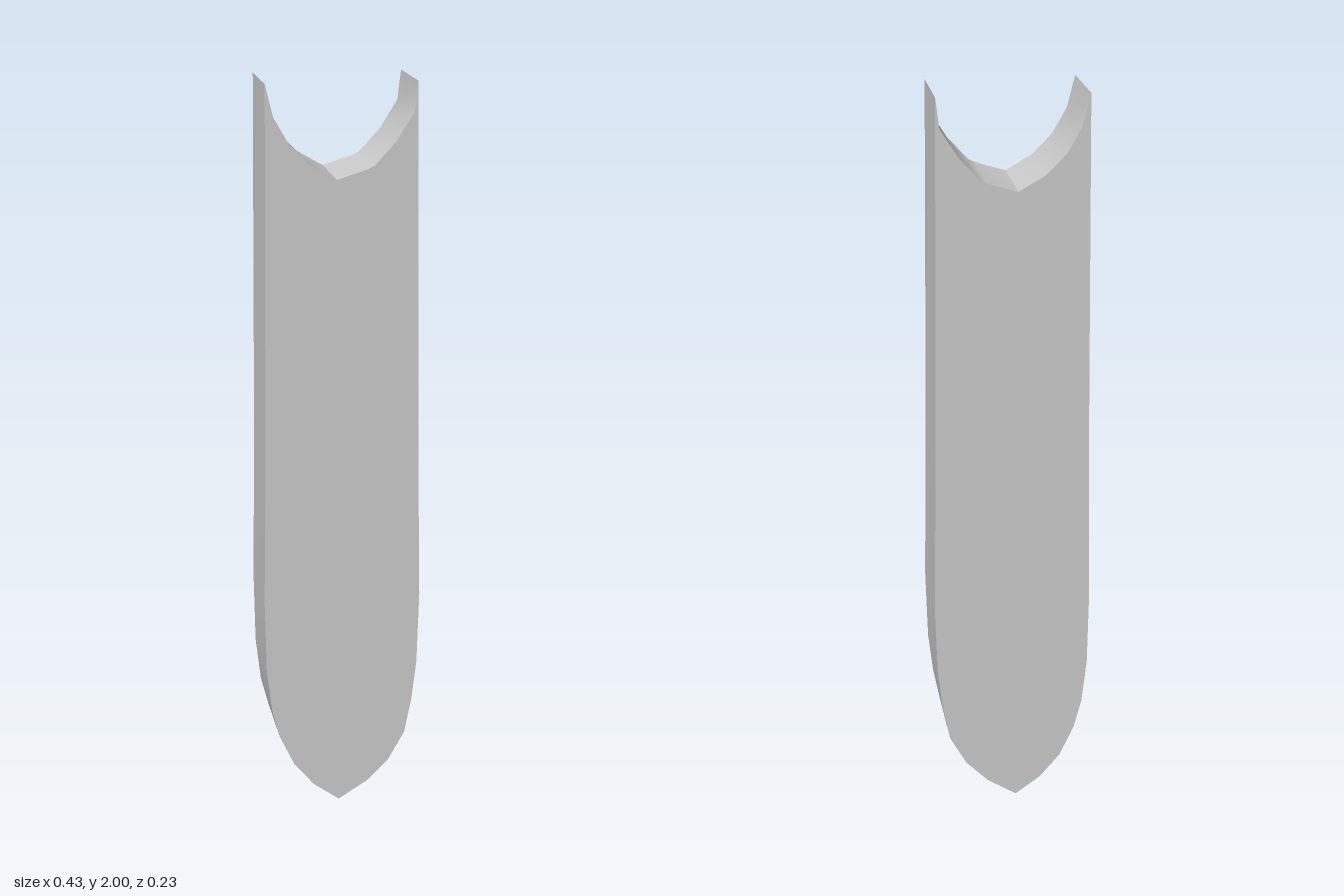
import * as THREE from 'three';
import { toCreasedNormals } from 'three/addons/utils/BufferGeometryUtils.js';

export function createModel() {
  const group = new THREE.Group();
  group.name = 'notchedBar';

  // Outline, anticlockwise from the bottom tip
  const outline = [
    // rounded foot, right of the tip
    [-0.01, 0], [0.07, 0.05], [0.13, 0.11], [0.175, 0.19], [0.195, 0.29], [0.208, 0.4],
    // long side, narrowing slightly to the top
    [0.214, 0.6], [0.207, 1.0], [0.197, 2],
    // scooped notch in the top
    [0.187, 1.92], [0.14, 1.845], [0.085, 1.785], [0.065, 1.775], [-0.015, 1.75],
    [-0.085, 1.79], [-0.14, 1.845], [-0.18, 1.915], [-0.201, 2],
    // other long side and the foot
    [-0.208, 1.0], [-0.214, 0.6], [-0.21, 0.4], [-0.196, 0.28], [-0.175, 0.2],
    [-0.135, 0.115], [-0.08, 0.05],
  ].map(([x, y]) => new THREE.Vector2(x, y));

  const depth = 0.235;
  const geometry = new THREE.ExtrudeGeometry(new THREE.Shape(outline), { depth, bevelEnabled: false });
  geometry.translate(0, 0, -0.12);

  // Smooth curved walls, sharp rims and tips
  const bar = new THREE.Mesh(
    toCreasedNormals(geometry, 0.7),
    new THREE.MeshStandardMaterial({ color: 0xcccccc })
  );
  bar.name = 'bar';
  group.add(bar);
  return group;
}
